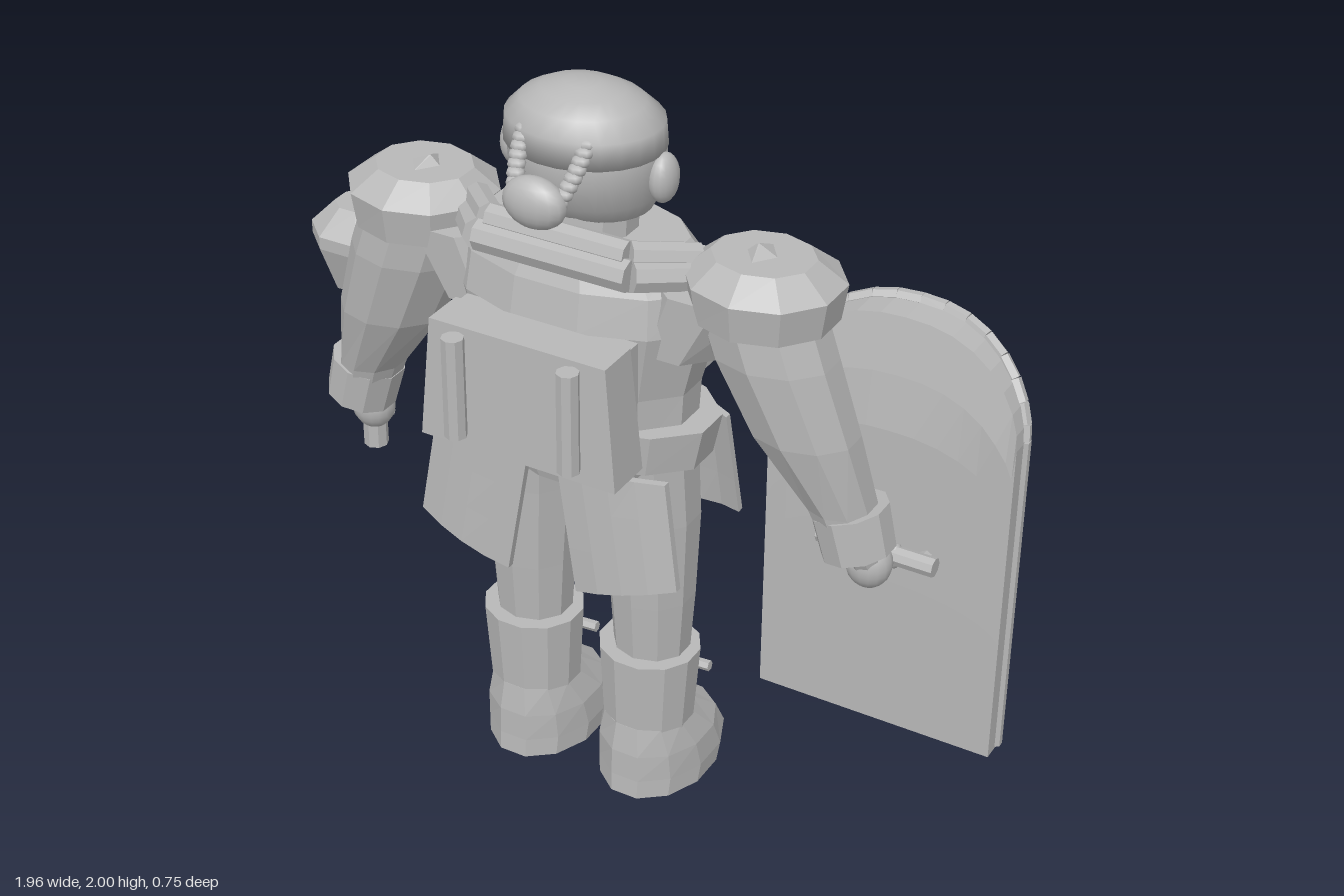
import * as THREE from 'three';

const grey = new THREE.MeshStandardMaterial({ color: 0xb8b8b8 });
grey.name = 'stone grey';
const CX = -0.1; // mirror plane of the figure
const V = (p) => new THREE.Vector3(...p);

function add(group, name, geo, flat = true) {
  let g = geo;
  if (flat) {
    g = geo.index ? geo.toNonIndexed() : geo;
    g.computeVertexNormals();
  }
  const mesh = new THREE.Mesh(g, grey);
  mesh.name = name;
  group.add(mesh);
  return mesh;
}

// Skin of elliptical rings, lowest first: [x, y, z, radiusX, radiusZ]
function loft(rings, n = 10, turn = Math.PI / n) {
  const pos = [], idx = [];
  for (const [x, y, z, rx, rz] of rings)
    for (let i = 0; i < n; i++) {
      const a = (i / n) * Math.PI * 2 + turn;
      pos.push(x + rx * Math.cos(a), y, z + rz * Math.sin(a));
    }
  const last = rings.length - 1, base = rings.length * n;
  pos.push(...rings[0].slice(0, 3), ...rings[last].slice(0, 3));
  for (let i = 0; i < n; i++) {
    const j = (i + 1) % n;
    for (let r = 0; r < last; r++) {
      const a = r * n + i, b = r * n + j;
      idx.push(a, a + n, b, b, a + n, b + n);
    }
    idx.push(base, i, j, base + 1, last * n + j, last * n + i);
  }
  const g = new THREE.BufferGeometry();
  g.setAttribute('position', new THREE.Float32BufferAttribute(pos, 3));
  g.setIndex(idx);
  g.computeVertexNormals();
  return g;
}

// Straight rods joining the given points
function rods(group, name, points, r, sides = 8, r2 = r) {
  for (let i = 0; i < points.length - 1; i++) {
    const a = V(points[i]), b = V(points[i + 1]), d = b.clone().sub(a);
    const m = add(group, name, new THREE.CylinderGeometry(r2, r, d.length(), sides));
    m.position.copy(a).add(b).multiplyScalar(0.5);
    m.quaternion.setFromUnitVectors(new THREE.Vector3(0, 1, 0), d.normalize());
  }
}

function ball(group, name, p, s, seg = 16) {
  const m = add(group, name, new THREE.SphereGeometry(1, seg, Math.ceil(seg * 0.7)), false);
  m.position.set(...p);
  m.scale.set(...s);
  return m;
}

// Bent slab between four corners: top inner, top outer, bottom inner, bottom outer
function panel(group, name, ti, to, bi, bo, bulge) {
  const g = new THREE.BoxGeometry(1, 1, 1, 4, 3, 1), p = g.attributes.position;
  const flip = (to[0] - ti[0]) < 0;
  for (let i = 0; i < p.count; i++) {
    const u = flip ? 0.5 - p.getX(i) : p.getX(i) + 0.5, v = p.getY(i) + 0.5;
    const q = V(bi).lerp(V(bo), u).lerp(V(ti).lerp(V(to), u), v);
    p.setXYZ(i, q.x, q.y, q.z + p.getZ(i) * 0.02 + bulge * 4 * u * (1 - u));
  }
  add(group, name, g);
}

function buildHead(root) {
  const head = new THREE.Group();
  head.name = 'head';
  root.add(head);
  add(head, 'neck', loft([[CX, 1.56, 0, 0.13, 0.12], [CX, 1.69, -0.01, 0.13, 0.12]], 12));
  add(head, 'face', loft([[CX, 1.655, -0.04, 0.11, 0.09], [CX, 1.68, -0.03, 0.155, 0.13],
    [CX, 1.73, -0.02, 0.185, 0.165], [CX, 1.8, -0.01, 0.195, 0.178],
    [CX, 1.86, -0.005, 0.197, 0.175], [CX, 1.93, 0, 0.17, 0.15]], 28), false);
  add(head, 'cap', loft([[CX, 1.85, 0, 0.204, 0.178], [CX, 1.915, 0, 0.2, 0.17],
    [CX, 1.96, 0.01, 0.155, 0.135], [CX, 1.985, 0.01, 0.105, 0.09], [CX, 2, 0.01, 0.045, 0.04]], 24), false);
  for (const s of [-1, 1]) {
    ball(head, 'ear', [CX + s * 0.205, 1.79, -0.015], [0.035, 0.064, 0.048]);
    for (let i = 0; i < 8; i++) { // beaded braid
      const t = i / 7;
      ball(head, 'braidBead', [CX + s * (0.085 - 0.025 * t * t), 1.91 - 0.12 * t, 0.135 + 0.085 * t],
        [0.024, 0.017, 0.022], 8);
    }
    rods(head, 'brow', [[CX + s * 0.02, 1.845, -0.195], [CX + s * 0.1, 1.87, -0.17]], 0.011, 6);
    rods(head, 'eyelid', [[CX + s * 0.03, 1.81, -0.182], [CX + s * 0.1, 1.805, -0.165]], 0.008, 6);
    rods(head, 'moustache', [[CX + s * 0.008, 1.762, -0.19], [CX + s * 0.04, 1.73, -0.225],
      [CX + s * 0.055, 1.705, -0.2]], 0.014, 6);
  }
  ball(head, 'hairKnot', [CX, 1.78, 0.23], [0.085, 0.066, 0.046]);
  add(head, 'nose', loft([[CX, 1.755, -0.195, 0.028, 0.045], [CX, 1.83, -0.18, 0.012, 0.012]], 4));
}

function buildBody(root) {
  const body = new THREE.Group();
  body.name = 'body';
  root.add(body);
  add(body, 'torso', loft([[CX, 1.08, 0, 0.3, 0.17], [CX, 1.25, 0, 0.31, 0.18],
    [CX, 1.44, 0, 0.36, 0.21], [CX, 1.54, -0.01, 0.35, 0.2], [CX, 1.63, -0.01, 0.27, 0.16]], 12));
  add(body, 'hips', loft([[CX, 0.95, 0, 0.24, 0.14], [CX, 1.08, 0, 0.32, 0.18]], 12));
  add(body, 'belt', loft([[CX, 1.05, 0, 0.345, 0.19], [CX, 1.165, 0, 0.37, 0.2]], 12));
  // Stacked collar rolls behind the neck
  const roll = (y, w, z, r) => rods(body, 'collarRoll',
    [[CX - w, y - 0.03, 0], [CX - w * 0.62, y, z], [CX + w * 0.62, y, z], [CX + w, y - 0.03, 0]], r, 8);
  roll(1.605, 0.34, 0.15, 0.042);
  roll(1.645, 0.31, 0.125, 0.036);
  // Chest plate with slats
  const chest = add(body, 'chestPlate', new THREE.BoxGeometry(0.44, 0.3, 0.1));
  chest.position.set(CX, 1.32, -0.215);
  for (let i = 0; i < 4; i++) {
    const y = 1.21 + i * 0.08;
    rods(body, 'chestSlat', [[CX - 0.21, y, -0.28], [CX + 0.21, y, -0.28]], 0.024, 6);
  }
  // Tapered back pack with two rods
  const pack = new THREE.CylinderGeometry(0.49 / Math.SQRT2, 0.55 / Math.SQRT2, 0.33, 4);
  pack.rotateY(Math.PI / 4).scale(1, 1, 0.24);
  const packMesh = add(body, 'backPack', pack);
  packMesh.position.set(CX, 1.285, 0.268);
  add(body, 'packBase', new THREE.BoxGeometry(0.48, 0.31, 0.1)).position.set(CX, 1.285, 0.215);
  for (const s of [-1, 1])
    rods(body, 'packRod', [[CX + s * 0.16, 1.16, 0.355], [CX + s * 0.16, 1.435, 0.355]], 0.029, 8);
  // Skirt panels and belt knot
  for (const s of [-1, 1]) {
    const x = (d) => CX + s * d;
    panel(body, 'backSkirt', [x(0.04), 1.08, 0.21], [x(0.33), 1.08, 0.18],
      [x(0.1), 0.71, 0.22], [x(0.375), 0.79, 0.195], 0.02);
    panel(body, 'frontSkirt', [x(0.04), 1.08, -0.215], [x(0.31), 1.08, -0.17],
      [x(0.07), 0.72, -0.24], [x(0.34), 0.79, -0.195], -0.03);
    rods(body, 'beltKnot', [[x(-0.03), 1.05, -0.225], [x(0.09), 1.12, -0.215]], 0.015, 6);
    rods(body, 'beltTail', [[x(0.01), 1.07, -0.225], [x(0.04), 0.82, -0.25]], 0.012, 6);
  }
}

function buildLimbs(root, s) {
  const x = (d) => CX + s * d;
  const limbs = new THREE.Group();
  limbs.name = s > 0 ? 'leftLimbs' : 'rightLimbs';
  root.add(limbs);
  add(limbs, 'shoulder', loft([[x(0.28), 1.38, 0, 0.12, 0.13], [x(0.36), 1.56, 0, 0.16, 0.14]], 8));
  add(limbs, 'arm', loft([[x(0.71), 0.95, -0.055, 0.08, 0.085], [x(0.69), 1.02, -0.05, 0.09, 0.095],
    [x(0.595), 1.22, -0.015, 0.145, 0.12], [x(0.515), 1.42, 0, 0.165, 0.135], [x(0.47), 1.55, 0, 0.165, 0.135]]));
  add(limbs, 'pauldron', loft([[x(0.48), 1.51, -0.015, 0.185, 0.172], [x(0.48), 1.605, -0.015, 0.2, 0.185],
    [x(0.475), 1.66, -0.015, 0.13, 0.115]], 10));
  add(limbs, 'pauldronStud', loft([[x(0.475), 1.65, -0.015, 0.055, 0.075], [x(0.46), 1.683, -0.015, 0.004, 0.004]], 4, 0));
  const cuff = add(limbs, 'cuff', new THREE.CylinderGeometry(0.1, 0.095, 0.12, 10));
  cuff.position.set(x(0.725), 0.95, -0.055);
  cuff.rotation.z = s * 0.26;
  // Clenched hand
  rods(limbs, 'wrist', [[x(0.725), 0.93, -0.06], [x(0.745), 0.83, -0.11]], 0.05, 10);
  ball(limbs, 'palm', [x(0.745), 0.825, -0.11], [0.062, 0.072, 0.055]);
  for (let i = 0; i < 4; i++) {
    const k = (i - 1.5) * 0.03;
    ball(limbs, 'finger', s > 0 ? [x(0.745) + k, 0.82, -0.17] : [x(0.755), 0.82 + k, -0.155],
      s > 0 ? [0.017, 0.035, 0.026] : [0.045, 0.017, 0.03], 10);
  }
  // Leg and boot
  add(limbs, 'leg', loft([[x(0.18), 0.38, -0.02, 0.1, 0.095], [x(0.18), 0.6, -0.02, 0.115, 0.11],
    [x(0.175), 0.85, -0.02, 0.13, 0.125], [x(0.165), 1.05, -0.01, 0.135, 0.13]]));
  add(limbs, 'bootShaft', loft([[x(0.175), 0.18, -0.012, 0.122, 0.117], [x(0.178), 0.43, -0.012, 0.138, 0.13]], 12));
  add(limbs, 'foot', loft([[x(0.175), 0, -0.08, 0.15, 0.205], [x(0.175), 0.055, -0.09, 0.155, 0.212],
    [x(0.175), 0.135, -0.065, 0.15, 0.185], [x(0.175), 0.22, -0.012, 0.122, 0.12]], 12));
  rods(limbs, 'bootStrap', [[x(0.175) - 0.11, 0.285, -0.145], [x(0.175) + 0.11, 0.295, -0.15]], 0.015, 6);
}

function buildMace(root) {
  const mace = new THREE.Group();
  mace.name = 'mace';
  root.add(mace);
  rods(mace, 'maceShaft', [[-0.85, 0.69, -0.12], [-0.85, 1.25, -0.12]], 0.034, 8);
  add(mace, 'maceHead', loft([[-0.855, 1.2, -0.12, 0.09, 0.085], [-0.855, 1.33, -0.12, 0.137, 0.13],
    [-0.855, 1.365, -0.12, 0.137, 0.13], [-0.855, 1.43, -0.12, 0.07, 0.065]], 8));
}

function buildShield(root) {
  const shield = new THREE.Group();
  shield.name = 'shield';
  root.add(shield);
  const lean = (y) => Math.max(0, y - 1.2) * 0.2;
  const front = (u, y) => -(0.258 + 0.042 * (1 - u * u) + lean(y));
  // Arched top edge
  const top = (u) => 1.2 + 0.25 * Math.pow(Math.max(0, 1 - Math.abs(u) ** 2.4), 0.6);
  const g = new THREE.BoxGeometry(2, 1, 1, 16, 8, 1), p = g.attributes.position;
  for (let i = 0; i < p.count; i++) {
    const u = Math.sin(p.getX(i) * Math.PI / 2), y = 0.27 + (p.getY(i) + 0.5) * (top(u) - 0.27);
    p.setXYZ(i, 0.64 + u * 0.33, y, p.getZ(i) > 0 ? -0.2 - lean(y) : front(u, y));
  }
  // Box front and back keep their facing: +z is the inner side
  add(shield, 'shieldPlate', g);
  const rim = [];
  for (let i = -8; i <= 8; i++) {
    const u = Math.sin(i / 8 * Math.PI / 2);
    rim.push([0.64 + u * 0.325, top(u), front(u, top(u))]);
  }
  for (let i = 4; i >= -4; i--) rim.push([0.64 + i / 4 * 0.325, 0.275, front(i / 4, 0.275)]);
  rim.push(rim[0]);
  rods(shield, 'shieldRim', rim, 0.018, 6);
  // Two chevron rods and a slanted bar
  rods(shield, 'shieldRod', [[0.84, 1.15, -0.325], [0.72, 0.79, -0.35], [0.85, 0.47, -0.325]], 0.02, 8);
  rods(shield, 'shieldRod', [[0.48, 1.15, -0.325], [0.6, 0.79, -0.35], [0.48, 0.47, -0.325]], 0.02, 8);
  rods(shield, 'shieldBar', [[0.86, 0.69, -0.33], [0.48, 0.92, -0.33]], 0.02, 8);
  rods(shield, 'shieldHandle', [[0.48, 0.825, -0.165], [0.8, 0.825, -0.165]], 0.026, 8);
  for (const x of [0.52, 0.76]) rods(shield, 'handleMount', [[x, 0.825, -0.165], [x, 0.825, -0.22]], 0.018, 6);
}

export function createModel() {
  const root = new THREE.Group();
  root.name = 'armouredGuard';
  buildHead(root);
  buildBody(root);
  for (const s of [-1, 1]) buildLimbs(root, s);
  buildMace(root);
  buildShield(root);
  return root;
}
